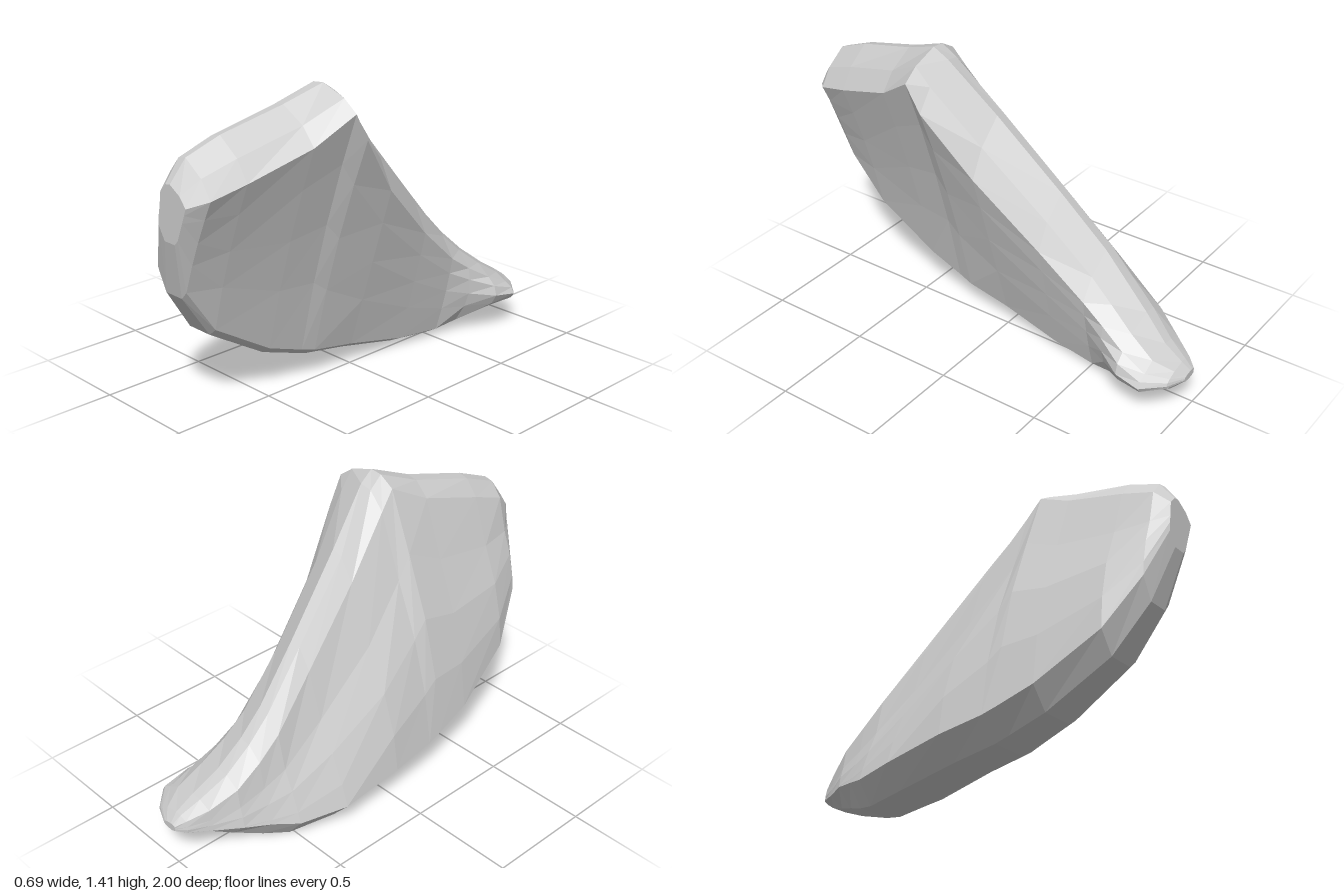
import * as THREE from 'three';

// Cross-sections from front to tail:
// z, bottom y, top y, left/right x at the bottom, middle and top, depth of the sloping rim
const SECTIONS = [
  [1.0, 0.85, 1.1, -0.07, 0.05, -0.07, 0.08, -0.05, 0.11, 0.08],
  [0.93, 0.58, 1.2, -0.19, 0, -0.16, 0.08, -0.07, 0.18, 0.15],
  [0.77, 0.36, 1.265, -0.265, -0.02, -0.22, 0.08, -0.06, 0.215, 0.17],
  [0.47, 0.18, 1.345, -0.325, -0.02, -0.24, 0.11, -0.03, 0.28, 0.15],
  [0.29, 0.12, 1.415, -0.34, -0.01, -0.235, 0.14, 0.01, 0.34, 0.1],
  [0.22, 0.1, 1.37, -0.345, 0, -0.24, 0.145, 0, 0.335, 0.18],
  [0, 0.065, 1.145, -0.35, 0.01, -0.27, 0.135, -0.04, 0.26, 0.24],
  [-0.3, 0.01, 0.835, -0.35, 0.04, -0.25, 0.12, -0.09, 0.19, 0.22],
  [-0.52, 0, 0.605, -0.285, 0.07, -0.22, 0.125, -0.13, 0.165, 0.18],
  [-0.63, 0.025, 0.49, -0.225, 0.1, -0.185, 0.175, -0.13, 0.175, 0.14],
  [-0.75, 0.065, 0.38, -0.16, 0.14, -0.15, 0.25, -0.12, 0.2, 0.1],
  [-0.87, 0.105, 0.285, -0.08, 0.18, -0.08, 0.265, -0.07, 0.21, 0.06],
  [-0.96, 0.135, 0.23, -0.02, 0.14, -0.03, 0.175, -0.02, 0.15, 0.03],
  [-1.0, 0.16, 0.195, 0.01, 0.08, 0.01, 0.09, 0.01, 0.08, 0.01],
];

// Closed ring of points, counter-clockwise as seen from the front
function makeRing([z, y0, y1, bl, br, ml, mr, tl, tr, rim]) {
  const bottom = Math.min(0.1, (y1 - y0) * 0.25);
  const low = y0 + bottom * 0.35, high = y1 - rim;
  const curve = (a, b, c, t) =>
    a * (1 - t) * (1 - 2 * t) + b * 4 * t * (1 - t) + c * t * (2 * t - 1);
  // across: 0 = left wall, 1 = right wall
  const at = (y, across) => {
    const t = THREE.MathUtils.clamp((y - low) / (high - low), 0, 1);
    const left = curve(bl, ml, tl, t), right = curve(br, mr, tr, t);
    return new THREE.Vector3(left + (right - left) * across, y, z);
  };
  const mids = [0.3, 0.55, 0.8].map((t) => low + t * (high - low));
  const right = [low, ...mids, high];
  const left = [y0 + bottom, ...mids, y1 - rim * 0.5];
  return [
    at(y0, 0.83),
    ...right.map((y) => at(y, 1)),
    // ridge strip, tilted down to the right
    at(y1 - rim * 0.45, 0.78),
    at(y1, 0.4),
    at(y1 - rim * 0.06, 0.22),
    ...left.reverse().map((y) => at(y, 0)),
    at(y0, 0.28),
  ];
}

function makeLoft(rings) {
  const pos = [];
  const tri = (a, b, c) => [a, b, c].forEach((p) => pos.push(p.x, p.y, p.z));
  const n = rings[0].length;
  const centre = (ring) =>
    ring.reduce((s, p) => s.add(p), new THREE.Vector3()).divideScalar(n);
  const front = rings[0], back = rings[rings.length - 1];
  const cf = centre(front), cb = centre(back);
  for (let j = 0; j < n; j++) {
    const k = (j + 1) % n;
    // skin between neighbouring sections
    for (let i = 0; i < rings.length - 1; i++) {
      const a = rings[i][j], b = rings[i][k];
      const c = rings[i + 1][k], d = rings[i + 1][j];
      tri(a, d, c);
      tri(a, c, b);
    }
    // end caps
    tri(cf, front[j], front[k]);
    tri(cb, back[k], back[j]);
  }
  const geo = new THREE.BufferGeometry();
  geo.setAttribute('position', new THREE.Float32BufferAttribute(pos, 3));
  geo.computeVertexNormals();
  return geo;
}

export function createModel() {
  const group = new THREE.Group();
  group.name = 'stone';
  const grey = new THREE.MeshStandardMaterial({ color: 0xcccccc, flatShading: true });
  grey.name = 'stone grey';

  // Leaning, faceted slab with a long sloping ridge and a hooked tail
  const slab = new THREE.Mesh(makeLoft(SECTIONS.map(makeRing)), grey);
  slab.name = 'slab';
  group.add(slab);
  return group;
}
